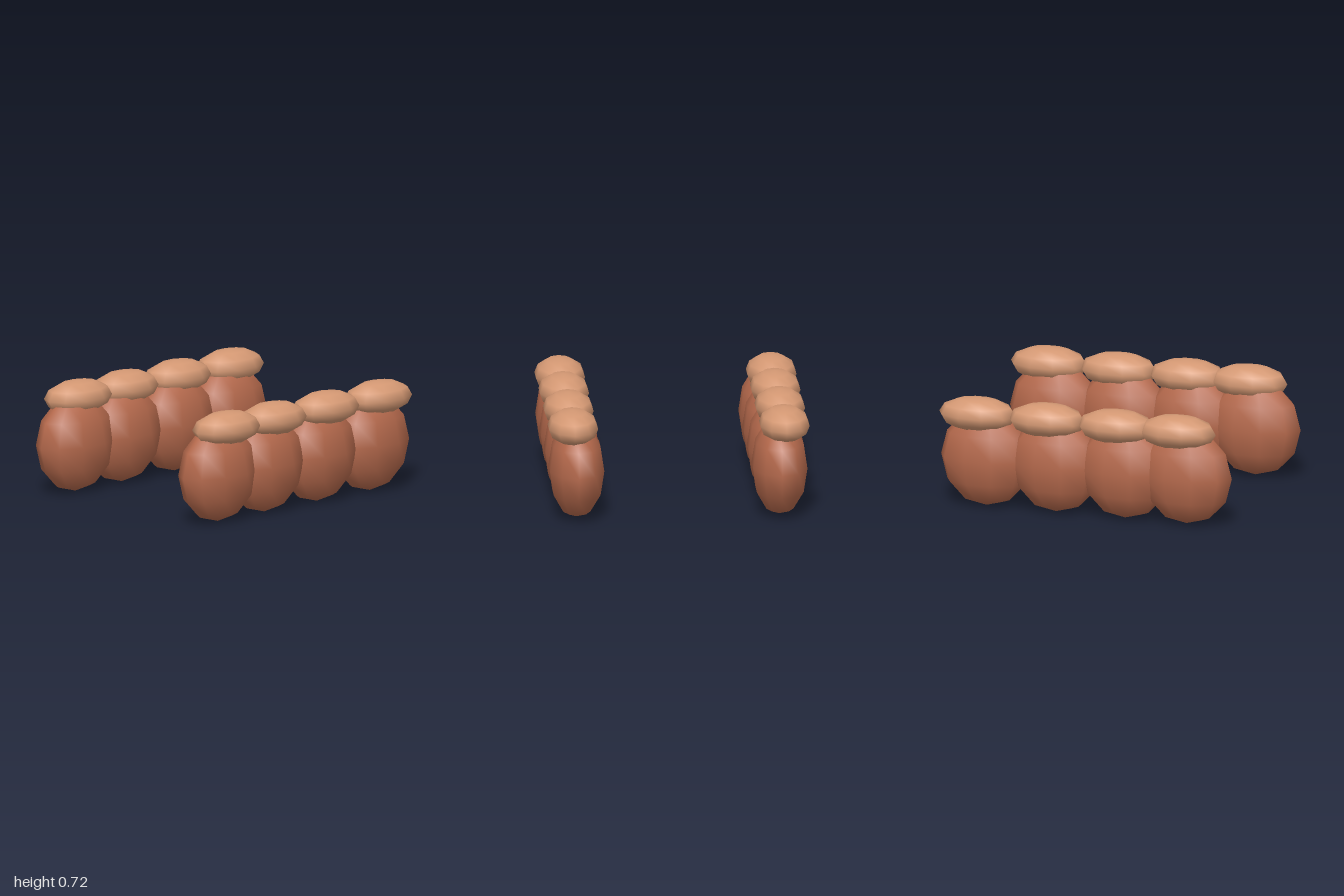
import * as THREE from 'three';

export function createModel() {
  const model = new THREE.Group();
  model.name = 'ovalRows';

  const clay = new THREE.MeshStandardMaterial({ color: 0xb5694c });
  clay.name = 'clay brown';
  const tan = new THREE.MeshStandardMaterial({ color: 0xd49873 });
  tan.name = 'light tan';

  // Coarse ellipsoid with a vertex pointing along z
  const ellipsoid = (rx, ry, rz) =>
    new THREE.SphereGeometry(1, 10, 6).rotateY(Math.PI / 2).scale(rx, ry, rz);
  const bodyGeometry = ellipsoid(0.184, 0.32, 0.311);
  const capGeometry = ellipsoid(0.167, 0.112, 0.262);

  const add = (parent, name, geometry, material, x, y, z) => {
    const mesh = new THREE.Mesh(geometry, material);
    mesh.name = name;
    mesh.position.set(x, y, z);
    parent.add(mesh);
  };

  // Two rows of four tall bodies, each with a flat oval cap on top
  const bodyZ = [0.685, 0.265, -0.21, -0.687];
  for (const [side, bodyX, capX] of [['left', 0.655, 0.681], ['right', -0.659, -0.687]]) {
    const row = new THREE.Group();
    row.name = side + 'Row';
    bodyZ.forEach((z, i) => {
      add(row, side + 'Body' + (i + 1), bodyGeometry, clay, bodyX, 0.32, z);
      add(row, side + 'Cap' + (i + 1), capGeometry, tan, capX, 0.61, z - 0.051);
    });
    model.add(row);
  }
  return model;
}
